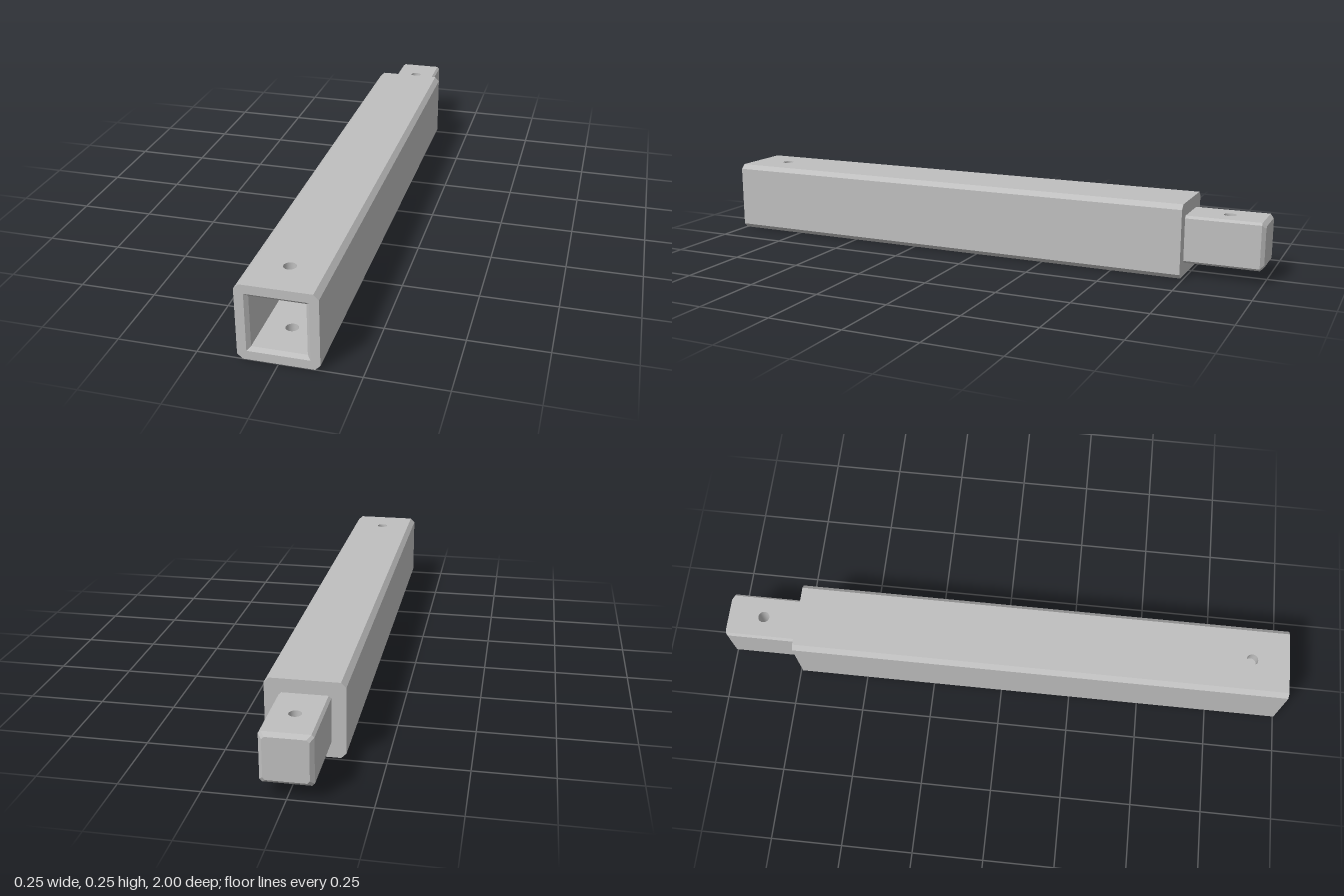
import * as THREE from 'three';

const MID = 0.125;            // height of the beam's axis
const FRONT = 1, SHOULDER = -0.74, BACK = -1;
const HOLE_R = 0.02, HOLE_Z = 0.87;

// Square section with cut corners, counter-clockwise seen from the front
function section(r, c) {
  const k = r - c;
  if (c === 0) return [[r, -r], [r, r], [-r, r], [-r, -r]];
  return [[r, -k], [r, k], [k, r], [-k, r], [-r, k], [-r, -k], [-k, -r], [k, -r]];
}

// Flat walls joining two sections; skip lists the sides left open
function walls(front, zFront, back, zBack, skip = [], inward = false) {
  const pos = [];
  front.forEach((p, i) => {
    if (skip.includes(i)) return;
    const j = (i + 1) % front.length;
    const a = [...p, zFront], b = [...back[i], zBack];
    const c = [...back[j], zBack], d = [...front[j], zFront];
    const tris = inward ? [a, c, b, a, d, c] : [a, b, c, a, c, d];
    tris.forEach((v) => pos.push(v[0], v[1] + MID, v[2]));
  });
  const g = new THREE.BufferGeometry();
  g.setAttribute('position', new THREE.Float32BufferAttribute(pos, 3));
  g.computeVertexNormals();
  return g;
}

const outline = (pts) => new THREE.Shape(pts.map(([x, y]) => new THREE.Vector2(x, y)));

// Flat end face, optionally with a square opening
function endFace(pts, z, opening, facingBack = false) {
  const shape = outline(pts);
  if (opening) shape.holes.push(outline(opening));
  const g = new THREE.ShapeGeometry(shape);
  if (facingBack) g.rotateY(Math.PI);
  return g.translate(0, MID, z);
}

// Horizontal panel pierced by a pin hole
function piercedPanel(halfWidth, zFront, zBack, y, holeZ, up) {
  const s = up ? -1 : 1;
  const shape = outline([
    [-halfWidth, s * zBack], [halfWidth, s * zBack],
    [halfWidth, s * zFront], [-halfWidth, s * zFront],
  ]);
  const hole = new THREE.Path();
  hole.absarc(0, s * holeZ, HOLE_R, 0, Math.PI * 2, true);
  shape.holes.push(hole);
  return new THREE.ShapeGeometry(shape, 16).rotateX(s * Math.PI / 2).translate(0, y, 0);
}

function holeWall(y0, y1, z) {
  return new THREE.CylinderGeometry(HOLE_R, HOLE_R, y1 - y0, 32, 1, true)
    .translate(0, (y0 + y1) / 2, z);
}

export function createModel() {
  const grey = new THREE.MeshStandardMaterial({ color: 0xbfbfbf, side: THREE.DoubleSide });
  grey.name = 'grey';

  const model = new THREE.Group();
  model.name = 'socketedBeam';
  const part = (name) => {
    const g = new THREE.Group();
    g.name = name;
    model.add(g);
    return (meshName, geometry) => {
      const m = new THREE.Mesh(geometry, grey);
      m.name = meshName;
      g.add(m);
    };
  };

  // Main beam with chamfered long edges
  const R = 0.125, C = 0.016;
  const outer = section(R, C), mouth = section(0.096, 0), bore = section(0.085, 0);
  const beam = part('beam');
  beam('beamSides', walls(outer, FRONT, outer, SHOULDER, [2, 6]));
  beam('beamTop', piercedPanel(R - C, FRONT, SHOULDER, MID + R, HOLE_Z, true));
  beam('beamBottom', piercedPanel(R - C, FRONT, SHOULDER, MID - R, HOLE_Z, false));
  beam('frontRim', endFace(outer, FRONT, mouth));
  beam('backShoulder', endFace(outer, SHOULDER, section(0.08, 0.008), true));

  // Square socket with a bevelled mouth
  const lip = FRONT - 0.011, floor = 0.73, B = 0.085;
  const socket = part('socket');
  socket('socketBevel', walls(mouth, FRONT, bore, lip, [], true));
  socket('socketSides', walls(bore, lip, bore, floor, [1, 3], true));
  socket('socketCeiling', piercedPanel(B, lip, floor, MID + B, HOLE_Z, false));
  socket('socketBase', piercedPanel(B, lip, floor, MID - B, HOLE_Z, true));
  socket('socketEnd', endFace(bore, floor));
  socket('upperPinHole', holeWall(MID + B, MID + R, HOLE_Z));
  socket('lowerPinHole', holeWall(MID - R, MID - B, HOLE_Z));

  // Tenon that fits the socket of the next beam
  const T = 0.08, TC = 0.008, E = 0.012, zE = BACK + E;
  const tenonSection = section(T, TC), tip = section(T - E, TC);
  const tenon = part('tenon');
  tenon('tenonSides', walls(tenonSection, SHOULDER, tenonSection, zE, [2, 6]));
  tenon('tenonTop', piercedPanel(T - TC, SHOULDER, zE, MID + T, -HOLE_Z, true));
  tenon('tenonBottom', piercedPanel(T - TC, SHOULDER, zE, MID - T, -HOLE_Z, false));
  tenon('tenonBevel', walls(tenonSection, zE, tip, BACK));
  tenon('tenonEnd', endFace(tip, BACK, null, true));
  tenon('tenonPinHole', holeWall(MID - T, MID + T, -HOLE_Z));

  return model;
}
